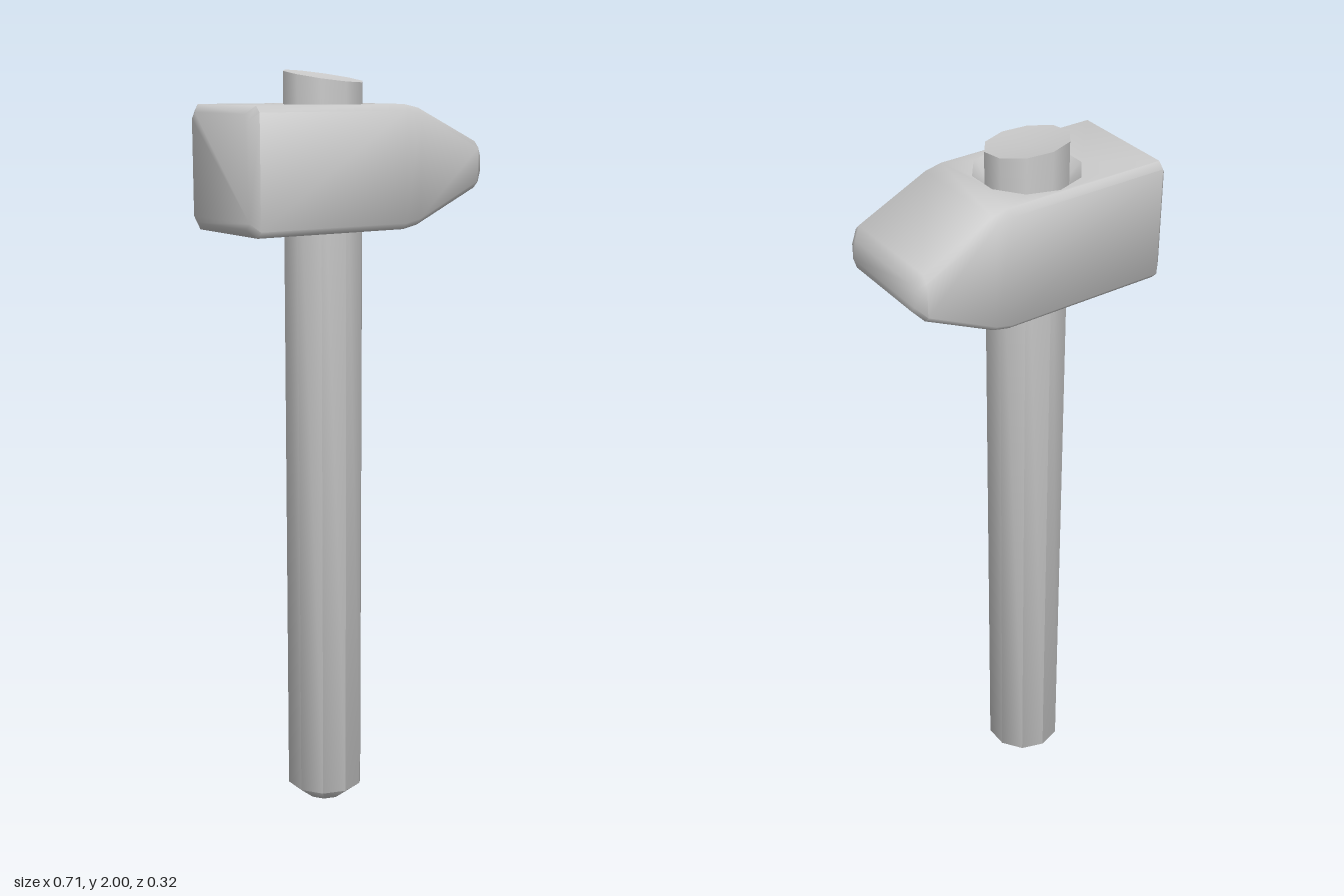
import * as THREE from 'three';
import { mergeGeometries, toCreasedNormals } from 'three/addons/utils/BufferGeometryUtils.js';

const SIDES = 10, HANDLE_X = -0.05, HANDLE_R = 0.105, EYE_R = 0.135, EYE_DEPTH = 0.035;
const HEAD_Y = 1.7575, HALF_H = 0.1575, HALF_D = 0.159, CHAMFER = 0.016;
const EYE_FROM = -0.335, EYE_TO = 0.1;

// Chamfered rectangle across the head at a given x
function section(x, h, d) {
  const c = CHAMFER;
  return [[d, c - h], [d, h - c], [d - c, h], [c - d, h], [-d, h - c], [-d, c - h], [c - d, -h], [d - c, -h]]
    .map(([z, y]) => [x, HEAD_Y + y, z]);
}

// Skin of the head, leaving the top and bottom open where the eye plates go
function headSkin() {
  const rows = [
    section(-0.355, HALF_H - 0.02, HALF_D - 0.02),
    section(EYE_FROM, HALF_H, HALF_D),
    section(EYE_TO, HALF_H, HALF_D),
    section(0.145, 0.148, HALF_D),
    section(0.332, 0.06, HALF_D),
    section(0.355, 0.036, HALF_D - 0.02),
  ];
  const pos = [];
  const tri = (...pts) => pts.forEach((p) => pos.push(...p));
  for (let i = 0; i < rows.length - 1; i++) {
    for (let j = 0; j < 8; j++) {
      if (i === 1 && (j === 2 || j === 6)) continue;
      const k = (j + 1) % 8;
      const a = rows[i][j], b = rows[i][k], c = rows[i + 1][k], d = rows[i + 1][j];
      tri(a, d, c);
      tri(a, c, b);
    }
  }
  const first = rows[0], last = rows[rows.length - 1];
  for (let k = 1; k < 7; k++) {
    tri(first[0], first[k], first[k + 1]);
    tri(last[0], last[k + 1], last[k]);
  }
  const g = new THREE.BufferGeometry();
  g.setAttribute('position', new THREE.Float32BufferAttribute(pos, 3));
  return g;
}

// Flat plate with the hole that the handle passes through
function eyePlate(side) {
  const d = HALF_D - CHAMFER;
  const shape = new THREE.Shape([[EYE_FROM, -d], [EYE_TO, -d], [EYE_TO, d], [EYE_FROM, d]]
    .map(([x, y]) => new THREE.Vector2(x, y)));
  const hole = [];
  for (let i = 0; i < SIDES; i++) {
    const a = (i / SIDES) * Math.PI * 2;
    hole.push(new THREE.Vector2(HANDLE_X + EYE_R * Math.sin(a), EYE_R * Math.cos(a)));
  }
  shape.holes.push(new THREE.Path(hole));
  return new THREE.ShapeGeometry(shape)
    .rotateX(-side * Math.PI / 2)
    .translate(0, HEAD_Y + side * HALF_H, 0);
}

// Sloping wall of the hole, down to the handle
function eyeWall(side) {
  const top = side > 0 ? EYE_R : HANDLE_R - 0.005;
  const bottom = side > 0 ? HANDLE_R - 0.005 : EYE_R;
  return new THREE.CylinderGeometry(top, bottom, EYE_DEPTH, SIDES, 1, true)
    .translate(HANDLE_X, HEAD_Y + side * (HALF_H - EYE_DEPTH / 2), 0);
}

// Keep positions only, so that pieces can be merged
function bare(geometry) {
  const g = geometry.index ? geometry.toNonIndexed() : geometry;
  g.deleteAttribute('uv');
  g.deleteAttribute('normal');
  return g;
}

// Round handle with a blunt foot and a slanting, slightly dished top
function handleGeometry() {
  const profile = [[0, 0], [0.055, 0.008], [HANDLE_R, 0.048], [HANDLE_R, 1.984], [0, 1.974]]
    .map(([r, y]) => new THREE.Vector2(r, y));
  const g = new THREE.LatheGeometry(profile, SIDES);
  const p = g.attributes.position;
  for (let i = 0; i < p.count; i++) {
    if (p.getY(i) > 1.9) p.setY(i, p.getY(i) - 0.13 * p.getZ(i) - 0.08 * p.getX(i));
  }
  return toCreasedNormals(bare(g), 0.9).translate(HANDLE_X, 0, 0);
}

export function createModel() {
  const group = new THREE.Group();
  group.name = 'hammer';
  const grey = new THREE.MeshStandardMaterial({ color: 0xcccccc });
  const greyBoth = new THREE.MeshStandardMaterial({ color: 0xcccccc, side: THREE.DoubleSide });
  const add = (name, geometry, material) => {
    const mesh = new THREE.Mesh(geometry, material);
    mesh.name = name;
    group.add(mesh);
  };

  add('handle', handleGeometry(), grey);
  const head = mergeGeometries([headSkin(), bare(eyePlate(1)), bare(eyePlate(-1))]);
  add('head', toCreasedNormals(head, 0.9), grey);
  add('upperEyeWall', eyeWall(1), greyBoth);
  add('lowerEyeWall', eyeWall(-1), greyBoth);
  return group;
}
